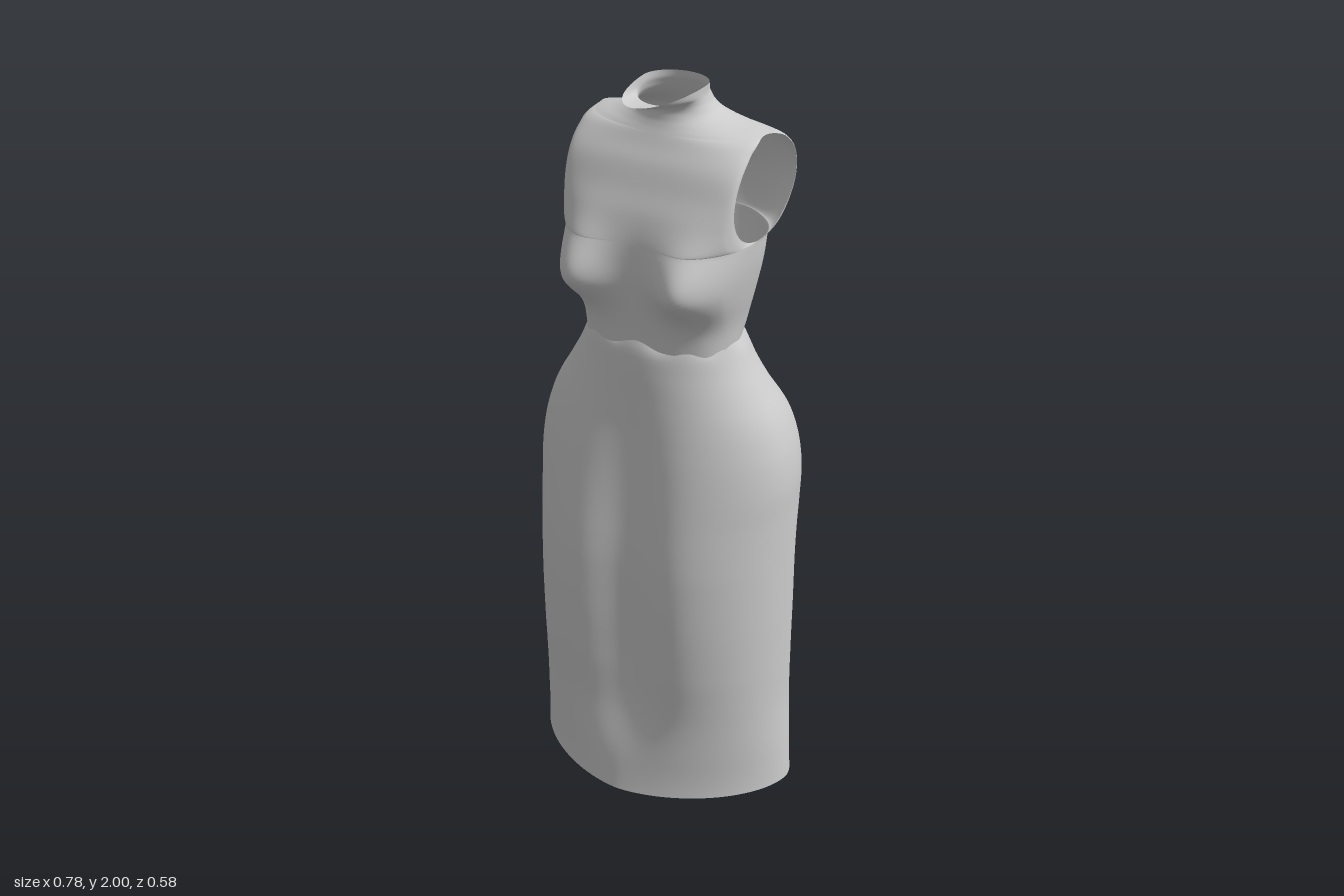
import * as THREE from 'three';
import { mergeVertices, mergeGeometries } from 'three/addons/utils/BufferGeometryUtils.js';

const material = new THREE.MeshStandardMaterial({ color: 0xcccccc, side: THREE.DoubleSide, roughness: 0.8 });
const { smoothstep, lerp } = THREE.MathUtils;

// Smooth interpolation of a table whose rows are [y, a, b, c...]
function sample(table, y) {
  let k = 0;
  while (k < table.length - 2 && y > table[k + 1][0]) k++;
  const p = table[k], q = table[k + 1], h = q[0] - p[0];
  const before = table[Math.max(k - 1, 0)], after = table[Math.min(k + 2, table.length - 1)];
  const t = (y - p[0]) / h, t2 = t * t, t3 = t2 * t;
  return p.slice(1).map((v, n) => {
    const c = n + 1;
    const m0 = (q[c] - before[c]) / (q[0] - before[0]) * h;
    const m1 = (after[c] - p[c]) / (after[0] - p[0]) * h;
    return (2 * t3 - 3 * t2 + 1) * v + (t3 - 2 * t2 + t) * m0 + (3 * t2 - 2 * t3) * q[c] + (t3 - t2) * m1;
  });
}

// Lofted sheet: angles run anticlockwise seen from above, heights run upwards
function sheet(angles, heights, point) {
  const pos = [], index = [], n = angles.length;
  heights.forEach((y, j) => angles.forEach((a, i) => {
    pos.push(...point(a, y));
    if (i < n - 1 && j < heights.length - 1) {
      const k = j * n + i;
      index.push(k, k + 1, k + n + 1, k, k + n + 1, k + n);
    }
  }));
  const g = new THREE.BufferGeometry();
  g.setAttribute('position', new THREE.Float32BufferAttribute(pos, 3));
  g.setIndex(index);
  return g;
}

function smoothMesh(name, geometries) {
  const g = mergeVertices(mergeGeometries(geometries), 1e-5);
  g.computeVertexNormals();
  const mesh = new THREE.Mesh(g, material);
  mesh.name = name;
  return mesh;
}

const range = (a, b, n) => Array.from({ length: n + 1 }, (_, i) => a + (b - a) * i / n);
const power = (v, e) => Math.sign(v) * Math.pow(Math.abs(v), e);
const bell = (d) => Math.exp(-d * d);

// Skirt: y, half width, front z, back z, front hollow, back hollow
const SKIRT = [
  [0, 0.39, 0.295, -0.25, 0, 0],
  [0.1, 0.383, 0.282, -0.235, 0.012, 0.008],
  [0.25, 0.373, 0.26, -0.213, 0.04, 0.025],
  [0.4, 0.373, 0.262, -0.208, 0.06, 0.032],
  [0.55, 0.374, 0.265, -0.215, 0.065, 0.035],
  [0.7, 0.374, 0.262, -0.224, 0.062, 0.035],
  [0.78, 0.374, 0.255, -0.242, 0.058, 0.035],
  [0.86, 0.374, 0.244, -0.273, 0.052, 0.03],
  [0.95, 0.374, 0.23, -0.294, 0.042, 0.025],
  [1.03, 0.364, 0.217, -0.288, 0.032, 0.025],
  [1.1, 0.344, 0.205, -0.264, 0.022, 0.025],
  [1.15, 0.322, 0.197, -0.23, 0.014, 0.02],
  [1.2, 0.292, 0.19, -0.195, 0.008, 0.015],
  [1.27, 0.252, 0.182, -0.163, 0, 0.008],
  [1.33, 0.225, 0.175, -0.142, 0, 0.004],
  [1.355, 0.212, 0.163, -0.128, 0, 0],
];

function skirtPoint(a, y) {
  const [w, front, back, hollowF, hollowB] = sample(SKIRT, y);
  const e = 2 / lerp(1.7, 2.05, smoothstep(y, 0, 0.3));
  const x = w * power(Math.sin(a), e), c = power(Math.cos(a), e);
  const isFront = c > 0, hollow = isFront ? hollowF : hollowB;
  const depth = Math.abs(isFront ? front : back) + 0.45 * hollow;
  const z = depth * c - Math.sign(c) * hollow * bell(x / 0.11) * Math.min(1, Math.abs(c) * 2);
  return [x, y + 0.008 * Math.cos(10 * a) * smoothstep(y, 1.31, 1.355), z];
}

// Bodice: y, half width, z of the widest point, front z, back z
const BODICE = [
  [1.335, 0.212, 0.02, 0.165, -0.115],
  [1.4, 0.222, 0.01, 0.17, -0.135],
  [1.48, 0.24, 0.01, 0.178, -0.155],
  [1.56, 0.254, 0.005, 0.185, -0.175],
  [1.63, 0.26, 0, 0.183, -0.186],
  [1.7, 0.264, -0.015, 0.165, -0.189],
  [1.76, 0.267, -0.03, 0.137, -0.189],
  [1.82, 0.267, -0.045, 0.11, -0.18],
  [1.86, 0.262, -0.055, 0.085, -0.17],
  [1.89, 0.245, -0.06, 0.068, -0.16],
  [1.905, 0.18, -0.055, 0.06, -0.152],
  [1.925, 0.125, -0.05, 0.053, -0.14],
  [1.95, 0.1, -0.04, 0.055, -0.125],
  [1.97, 0.092, -0.035, 0.085, -0.115],
  [1.98, 0.09, -0.03, 0.13, -0.11],
  [2.0, 0.09, -0.03, 0.178, -0.106],
];
const ARM_Y = 1.76, ARM_R = 0.13;

function bodicePoint(a, y, isFront) {
  const [w, mid, front, back] = sample(BODICE, y);
  // how far the armhole is open at this height
  const open = Math.sqrt(Math.max(0, 1 - ((y - ARM_Y) / ARM_R) ** 2));
  const e = 2 / lerp(2.5, 2, smoothstep(y, 1.8, 1.9));
  const c = Math.abs(Math.cos(a));
  const x = (w + (isFront ? -0.02 : 0.013) * open) * power(Math.sin(a), e);
  const edge = mid + (isFront ? 0.128 : -0.132) * open;
  let z = edge + ((isFront ? front : back) - edge) * Math.pow(c, e);
  if (isFront) {
    // bust
    const dy = y - 1.53;
    z += 0.092 * bell((Math.abs(x) - 0.165) / 0.09) * bell(dy / (dy < 0 ? 0.08 : 0.11)) * Math.min(1, c * 3);
  } else {
    // shoulder blades either side of the spine
    z -= 0.02 * bell((Math.abs(x) - 0.12) / 0.07) * bell((y - 1.7) / 0.15) * Math.min(1, c * 2);
  }
  const lip = isFront ? -0.012 * c * smoothstep(y, 1.96, 2) : 0;
  const waist = 1 - smoothstep(y, 1.335, 1.39);
  const hem = waist * (0.006 * Math.cos(10 * a) + (isFront ? 0 : 0.022 * c));
  return [x, y + lip + hem, z];
}

export function createModel() {
  const model = new THREE.Group();
  model.name = 'dressForm';

  model.add(smoothMesh('skirt', [sheet(range(-Math.PI, Math.PI, 128), range(0, 1.355, 100), skirtPoint)]));

  // Front and back panels meet at the sides and part around the armholes
  const heights = [
    ...range(1.335, 1.63, 30),
    ...range(0, Math.PI, 36).slice(1).map((t) => ARM_Y - ARM_R * Math.cos(t)),
    ...range(1.89, 2, 24).slice(1),
  ];
  const h = Math.PI / 2;
  model.add(smoothMesh('bodice', [
    sheet(range(-h, h, 64), heights, (a, y) => bodicePoint(a, y, true)),
    sheet(range(h, 3 * h, 64), heights, (a, y) => bodicePoint(a, y, false)),
  ]));
  return model;
}
